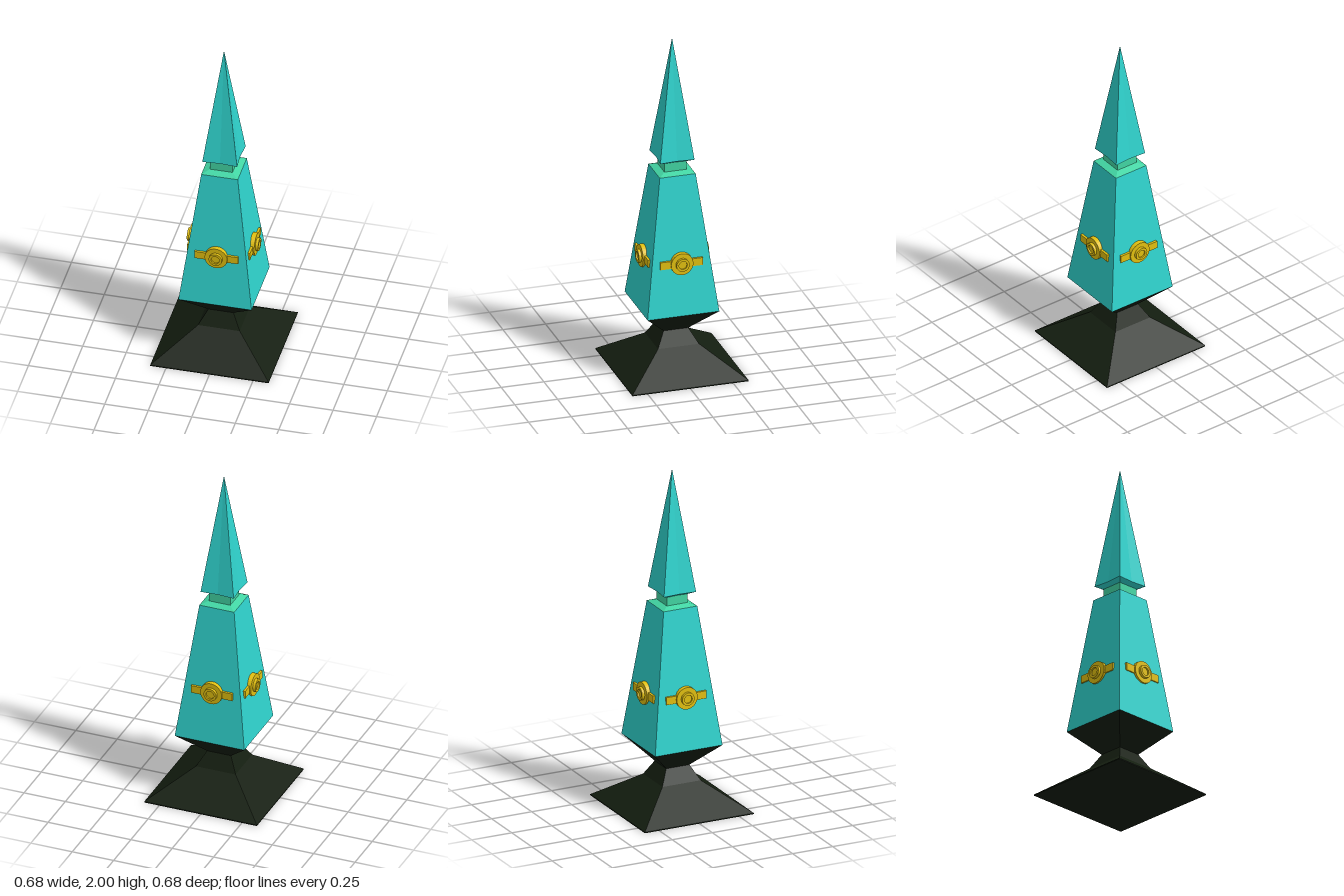
import * as THREE from 'three';

const mat = (color) => new THREE.MeshStandardMaterial({ color, flatShading: true });
const teal = mat(0x2fd3cd);
const green = mat(0x42d6a4);
const dark = mat(0x141e10);
const gold = mat(0xe2c010);

function addMesh(parent, name, geometry, material) {
  const mesh = new THREE.Mesh(geometry, material);
  mesh.name = name;
  parent.add(mesh);
  return mesh;
}

// Square-plan solid from [half width, height] pairs, bottom to top.
// pinch < 1 adds a fold down the middle of each face and pulls it inwards.
function squareProfile(rows, pinch = 1) {
  const points = rows.map(([w, y]) => new THREE.Vector2(w * Math.SQRT2, y));
  const folded = pinch < 1;
  let geo = new THREE.LatheGeometry(points, folded ? 8 : 4, Math.PI / 4);
  if (folded) {
    const p = geo.attributes.position;
    for (let i = 0; i < p.count; i++) {
      const x = p.getX(i), z = p.getZ(i);
      if (Math.min(Math.abs(x), Math.abs(z)) < 1e-5) {
        const s = pinch / Math.SQRT2;
        p.setXYZ(i, x * s, p.getY(i), z * s);
      }
    }
  }
  geo = geo.toNonIndexed();
  geo.computeVertexNormals();
  return geo;
}

// Round boss with a stepped, recessed centre and a bar across it
function createMedallion() {
  const group = new THREE.Group();
  group.name = 'medallion';
  const profile = [
    [0, 0.15], [0.065, 0.15], [0.065, 0.189], [0.038, 0.189],
    [0.038, 0.205], [0.024, 0.205], [0.024, 0.196], [0, 0.196],
  ].map(([r, d]) => new THREE.Vector2(r, d));
  const boss = new THREE.LatheGeometry(profile, 32).toNonIndexed();
  boss.computeVertexNormals();
  boss.rotateX(Math.PI / 2);
  addMesh(group, 'boss', boss, gold);
  addMesh(group, 'crossBar', new THREE.BoxGeometry(0.25, 0.045, 0.024), gold).position.z = 0.169;
  return group;
}

export function createModel() {
  const model = new THREE.Group();
  model.name = 'obelisk';

  // Flared foot, waist and inverted pyramid
  addMesh(model, 'pedestal', squareProfile([
    [0, 0], [0.34, 0], [0.34, 0.006], [0.12, 0.165], [0.072, 0.25], [0.21, 0.39], [0, 0.39],
  ]), dark);

  // Tapered shaft
  addMesh(model, 'shaft', squareProfile([[0.21, 0.39], [0.105, 1.2]]), teal);

  // Bevelled shoulder and neck
  addMesh(model, 'neck', squareProfile([
    [0.105, 1.2], [0.065, 1.215], [0.065, 1.275],
  ]), green);

  // Pointed spire with slightly folded faces
  addMesh(model, 'spire', squareProfile([
    [0, 1.268], [0.07, 1.268], [0.1, 1.284], [0, 2],
  ], 0.93), teal);

  // One medallion on each face of the shaft
  for (let i = 0; i < 4; i++) {
    const medallion = createMedallion();
    medallion.position.y = 0.695;
    medallion.rotation.y = i * Math.PI / 2;
    model.add(medallion);
  }
  return model;
}
